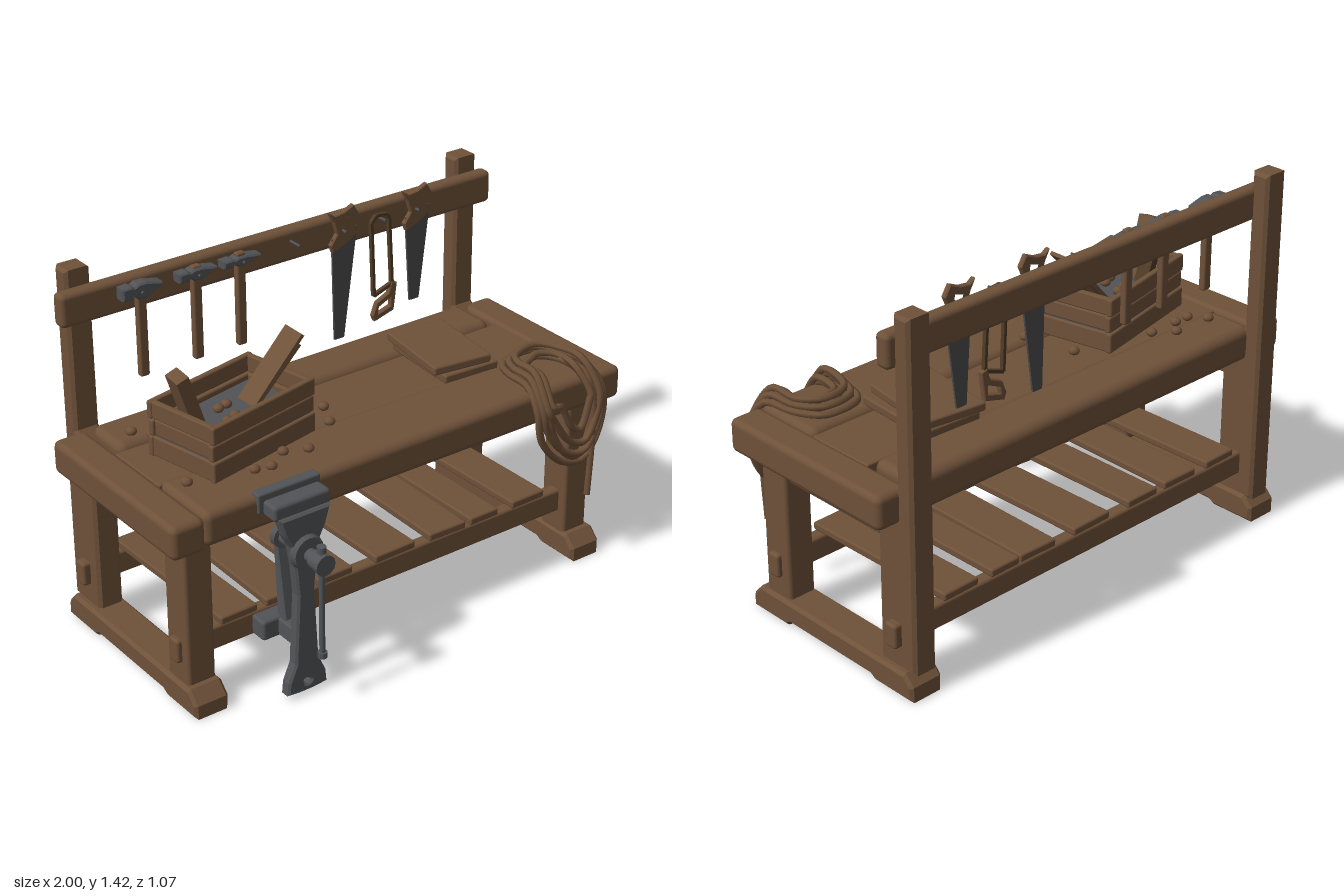
import * as THREE from 'three';
import { RoundedBoxGeometry } from 'three/addons/geometries/RoundedBoxGeometry.js';

export function createModel() {
  const model = new THREE.Group();
  model.name = 'workbench';
  const mat = (name, color, side = THREE.FrontSide) => {
    const m = new THREE.MeshStandardMaterial({ color, side });
    m.name = name;
    return m;
  };
  const wood = mat('wood', 0x6e5139);
  const darkWood = mat('dark wood', 0x4f3b26);
  const iron = mat('iron', 0x515356);
  const steel = mat('saw steel', 0x4b4b4c);

  const add = (name, geo, m, parent = model) => {
    const mesh = new THREE.Mesh(geo, m);
    mesh.name = name;
    parent.add(mesh);
    return mesh;
  };
  // Rounded beam given by its extents
  const beam = (name, m, x, y, z, r = 0.012, parent = model) => {
    const s = [x, y, z].map(([a, b]) => b - a);
    const mesh = add(name, new RoundedBoxGeometry(...s, 2, Math.min(r, Math.min(...s) * 0.45)), m, parent);
    mesh.position.set((x[0] + x[1]) / 2, (y[0] + y[1]) / 2, (z[0] + z[1]) / 2);
    return mesh;
  };
  // Bar between two points in a plane of constant z
  const bar = (name, m, [x0, y0], [x1, y1], z, w, d, parent = model) => {
    const mesh = add(name, new THREE.BoxGeometry(Math.hypot(x1 - x0, y1 - y0), w, d), m, parent);
    mesh.position.set((x0 + x1) / 2, (y0 + y1) / 2, z);
    mesh.rotation.z = Math.atan2(y1 - y0, x1 - x0);
    return mesh;
  };
  // Bevelled plate from an outline, centred on its thickness
  const plate = (pts, depth, b = 0, hole) => {
    const shape = new THREE.Shape(pts.map(p => new THREE.Vector2(...p)));
    if (hole) shape.holes.push(new THREE.Path(hole.map(p => new THREE.Vector2(...p))));
    return new THREE.ExtrudeGeometry(shape, {
      depth: depth - 2 * b, bevelEnabled: b > 0, bevelSize: b, bevelThickness: b, bevelOffset: -b, bevelSegments: 1,
    }).translate(0, 0, b - depth / 2);
  };
  // Side profile in (z, y), extruded along x
  const sidePlate = (...args) => plate(...args).rotateY(-Math.PI / 2);
  const cyl = (name, m, r0, r1, x, y, z0, z1, n = 16, parent = model) => {
    const mesh = add(name, new THREE.CylinderGeometry(r1, r0, z1 - z0, n).rotateX(Math.PI / 2), m, parent);
    mesh.position.set(x, y, (z0 + z1) / 2);
    return mesh;
  };

  // End frames
  const footPts = [[0.325, 0], [0.325, 0.055], [0.28, 0.102], [-0.49, 0.102], [-0.53, 0.06], [-0.53, 0],
    [-0.34, 0], [-0.315, 0.015], [0.115, 0.015], [0.14, 0]];
  const postPts = [[-0.52, 0.09], [-0.345, 0.09], [-0.345, 0.68], [-0.38, 0.74], [-0.443, 0.8],
    [-0.443, 1.42], [-0.518, 1.42]];
  for (const s of [-1, 1]) {
    add('foot', sidePlate(footPts, 0.14, 0.012), wood).position.x = s * 0.867;
    add('backPost', sidePlate(postPts, 0.1, 0.012), wood).position.x = s * 0.86;
    const span = (a, b) => (s > 0 ? [a, b] : [-b, -a]);
    beam('frontLeg', wood, span(0.805, 0.92), [0.08, 0.69], [0.13, 0.26], 0.015);
    beam('sideApron', wood, span(0.82, 0.9), [0.57, 0.67], [-0.36, 0.14]);
    beam('endBeam', wood, span(0.865, 1), [0.66, 0.79], [-0.457, 0.325], 0.025);
  }

  // Bench top
  beam('frontTopBeam', wood, [-0.866, 0.866], [0.665, 0.8], [0.03, 0.322], 0.03);
  beam('middleTopBoard', wood, [-0.866, 0.866], [0.69, 0.782], [-0.25, 0.035], 0.006);
  beam('backTopBeam', wood, [-0.845, 0.845], [0.66, 0.8], [-0.457, -0.25], 0.035);

  // Lower rails and shelf slats
  beam('frontRail', wood, [-0.94, 0.94], [0.18, 0.275], [0.17, 0.225]);
  beam('backRail', wood, [-0.94, 0.94], [0.18, 0.275], [-0.455, -0.4]);
  [[-0.765, -0.61], [-0.56, -0.395], [-0.345, -0.19], [-0.09, 0.095], [0.175, 0.345], [0.36, 0.495], [0.56, 0.72]]
    .forEach((x, i) => {
      beam('shelfSlat', wood, x, [0.274, 0.305], [-0.455, 0.23], 0.008).rotation.y = [0.02, -0.015, 0.01][i % 3];
    });

  // Tool rail
  beam('toolRail', wood, [-0.96, 0.945], [1.228, 1.355], [-0.456, -0.395], 0.02);
  for (const x of [-0.665, -0.43, -0.24, 0, 0.21, 0.39, 0.55]) cyl('peg', iron, 0.006, 0.006, x, 1.31, -0.41, -0.335, 6);

  // Hammers
  [[-0.66, 0.165, 0.03], [-0.43, 0.16, 0.022], [-0.242, 0.16, 0.018]].forEach(([x, len, r]) => {
    const hammer = new THREE.Group();
    hammer.name = 'hammer';
    hammer.position.set(x, 1.313, -0.37);
    model.add(hammer);
    const h = len / 2;
    add('hammerHead', plate([[-h, -r * 0.7], [-h * 0.55, -r * 0.8], [-h * 0.4, -r * 0.5], [-h * 0.2, -r], [h * 0.2, -r],
      [h, r * 0.2], [h, r * 0.45], [h * 0.2, r], [-h * 0.2, r], [-h * 0.4, r * 0.7], [-h * 0.55, r * 0.9], [-h, r * 0.8]],
    0.05, 0.006), iron, hammer);
    beam('hammerHandle', wood, [-0.019, 0.019], [-0.335, 0.03], [-0.014, 0.014], 0.008, hammer);
  });

  // Hand saws
  const saw = (x, y, tipX, tipY) => {
    add('sawHandle', plate([[-0.065, -0.01], [-0.04, -0.025], [0, -0.02], [0.045, 0], [0.07, -0.04], [0.055, -0.075],
      [0.06, -0.12], [0.01, -0.15], [-0.05, -0.17], [-0.06, -0.14], [-0.03, -0.1], [-0.045, -0.05]].map(([a, b]) => [x + a, y + b]),
    0.022, 0.004, [[-0.015, -0.05], [0.03, -0.035], [0.035, -0.075], [0, -0.09]].map(([a, b]) => [x + a, y + b])), wood)
      .position.z = -0.37;
    add('sawBlade', plate([[x - 0.05, y - 0.12], [x + 0.065, y - 0.09], [tipX + 0.022, tipY], [tipX - 0.022, tipY]], 0.008), steel)
      .position.z = -0.37;
  };
  saw(0.215, 1.4, 0.197, 0.87);
  saw(0.557, 1.4, 0.552, 0.935);

  // Small frame saw
  const loop = [[0.347, 1.3], [0.37, 1.325], [0.42, 1.32], [0.43, 1.3], [0.445, 1.03], [0.36, 1.0]];
  loop.forEach((p, i) => bar('frameSawBow', darkWood, p, loop[(i + 1) % loop.length], -0.37, 0.012, 0.016));
  add('frameSawHandle', plate([[0.35, 0.92], [0.36, 0.895], [0.45, 0.92], [0.465, 1.03], [0.44, 1.04], [0.425, 0.995], [0.37, 0.97]],
    0.022, 0.003, [[0.375, 0.922], [0.435, 0.94], [0.435, 0.975], [0.38, 0.95]]), wood).position.z = -0.37;

  // Open crate with a metal tray and offcuts
  const crate = new THREE.Group();
  crate.name = 'crate';
  crate.position.set(-0.507, 0.797, -0.045);
  crate.rotation.y = 0.207;
  model.add(crate);
  beam('crateTray', iron, [-0.24, 0.24], [0.02, 0.12], [-0.15, 0.15], 0.003, crate);
  [[0, 0.077], [0.08, 0.142], [0.146, 0.213]].forEach((y, i) => {
    for (const s of [-1, 1]) {
      const t = i === 1 ? 0.006 : 0;
      const side = (o, w) => (s > 0 ? [o - w, o] : [-o, w - o]);
      beam('crateSide', wood, [-0.255, 0.255], y, side(0.162 - t, 0.024), 0.007, crate);
      beam('crateEnd', wood, side(0.25 - t, 0.024), y, [-0.145, 0.145], 0.007, crate);
    }
  });
  bar('offcut', wood, [-0.66, 0.92], [-0.74, 1.14], -0.035, 0.05, 0.075).rotation.x = 0.1;
  bar('offcut', darkWood, [-0.63, 0.92], [-0.7, 1.1], -0.09, 0.03, 0.06);
  bar('offcut', wood, [-0.43, 0.92], [-0.22, 1.145], -0.065, 0.014, 0.1);
  bar('offcut', wood, [-0.4, 0.92], [-0.22, 1.1], -0.075, 0.014, 0.08);

  // Scattered wooden knobs on the bench and in the crate
  const knobs = (list, y) => list.forEach(([x, z], i) => {
    const k = add('knob', new THREE.IcosahedronGeometry(0.021, 1), wood);
    k.position.set(x, y, z);
    k.scale.y = 0.8;
    k.rotation.y = i;
  });
  knobs([[-0.76, -0.31], [-0.71, -0.25], [-0.645, -0.25], [-0.59, -0.305], [-0.515, -0.25], [-0.8, 0.11], [-0.565, 0.175],
    [-0.505, 0.19], [-0.415, 0.13], [-0.33, 0.165], [-0.2, -0.16], [-0.105, -0.055], [-0.155, 0.05]], 0.81);
  knobs([[-0.5, -0.09], [-0.54, -0.08], [-0.52, -0.005], [-0.565, 0.015], [-0.6, 0.065]], 0.93);

  // Stacked boards
  beam('lowerBoard', wood, [0.38, 0.62], [0.795, 0.83], [-0.285, 0.065], 0.008).rotation.y = -0.06;
  beam('upperBoard', wood, [0.355, 0.6], [0.832, 0.866], [-0.295, 0.055], 0.008).rotation.y = -0.13;

  // Rope coil draped over the front edge
  const rope = (pts, closed) => {
    const curve = new THREE.CatmullRomCurve3(pts.map(p => new THREE.Vector3(...p)), closed);
    add('rope', new THREE.TubeGeometry(curve, 48, 0.014, 6, closed), wood);
  };
  for (let i = 0; i < 5; i++) {
    const k = i * 0.017, low = [0.46, 0.5, 0.55, 0.48, 0.6][i], z = 0.345 + (i % 3) * 0.012, h = 0.815 + (i % 3) * 0.022;
    rope([[0.62 + k, h, 0.085 + k], [0.78 - k / 2, h + 0.005, 0.065 + k], [0.84 - k / 2, h, 0.17], [0.865 - k, h, 0.29],
      [0.89 - k, 0.74, z], [0.885 - k, low + 0.12, z], [0.81 - k / 2, low + 0.01, z], [0.7 + k / 2, low + 0.03, z],
      [0.6 + k, low + 0.14, z], [0.57 + k, 0.74, z], [0.575 + k, h, 0.28], [0.585 + k, h, 0.17]], true);
  }
  rope([[0.8, 0.83, 0.2], [0.82, 0.82, 0.31], [0.835, 0.74, 0.35], [0.84, 0.55, 0.355], [0.83, 0.31, 0.355]], false);

  // Leg vise: jaw, screw, handle and lower guide
  const vise = new THREE.Group();
  vise.name = 'legVise';
  vise.position.x = -0.53;
  model.add(vise);
  beam('fixedJaw', iron, [-0.13, 0.13], [0.73, 0.808], [0.285, 0.332], 0.008, vise);
  beam('movingJawTop', iron, [-0.118, 0.118], [0.73, 0.79], [0.335, 0.41], 0.014, vise);
  const half = [[0.105, 0.74], [0.085, 0.67], [0.06, 0.62], [0.045, 0.53], [0.035, 0.42], [0.05, 0.14], [0.08, 0.07], [0.085, 0.02]];
  const arm = [...half.map(([x, y]) => [-x, y]), [-0.03, 0.015], [0.03, 0.015], ...half.slice().reverse()];
  const hole = Array.from({ length: 8 }, (_, i) => [0.016 * Math.cos(i * Math.PI / 4), 0.055 + 0.012 * Math.sin(i * Math.PI / 4)]);
  add('movingJawArm', plate(arm, 0.048, 0.008, hole), iron, vise).position.z = 0.402;
  cyl('screwCollar', iron, 0.068, 0.06, 0, 0.59, 0.42, 0.445, 16, vise);
  cyl('screw', iron, 0.026, 0.026, 0, 0.585, 0.26, 0.48, 12, vise);
  cyl('screwNut', iron, 0.045, 0.045, 0, 0.585, 0.27, 0.295, 12, vise);
  cyl('screwHead', iron, 0.035, 0.04, 0, 0.585, 0.475, 0.538, 12, vise);
  add('viseHandle', new THREE.CylinderGeometry(0.011, 0.011, 0.43, 10), iron, vise).position.set(0, 0.43, 0.512);
  for (const y of [0.215, 0.64]) add('handleKnob', new THREE.CylinderGeometry(0.018, 0.018, 0.022, 10), iron, vise).position.set(0, y, 0.512);
  beam('guideBlock', iron, [-0.1, 0.1], [0.19, 0.27], [0.225, 0.3], 0.012, vise);
  beam('guideBar', iron, [-0.035, 0.035], [0.195, 0.265], [0.28, 0.41], 0.008, vise);
  add('guideBrace', sidePlate([[0.33, 0.26], [0.28, 0.26], [0.262, 0.56], [0.285, 0.56]], 0.05, 0.004), iron, vise);

  return model;
}
